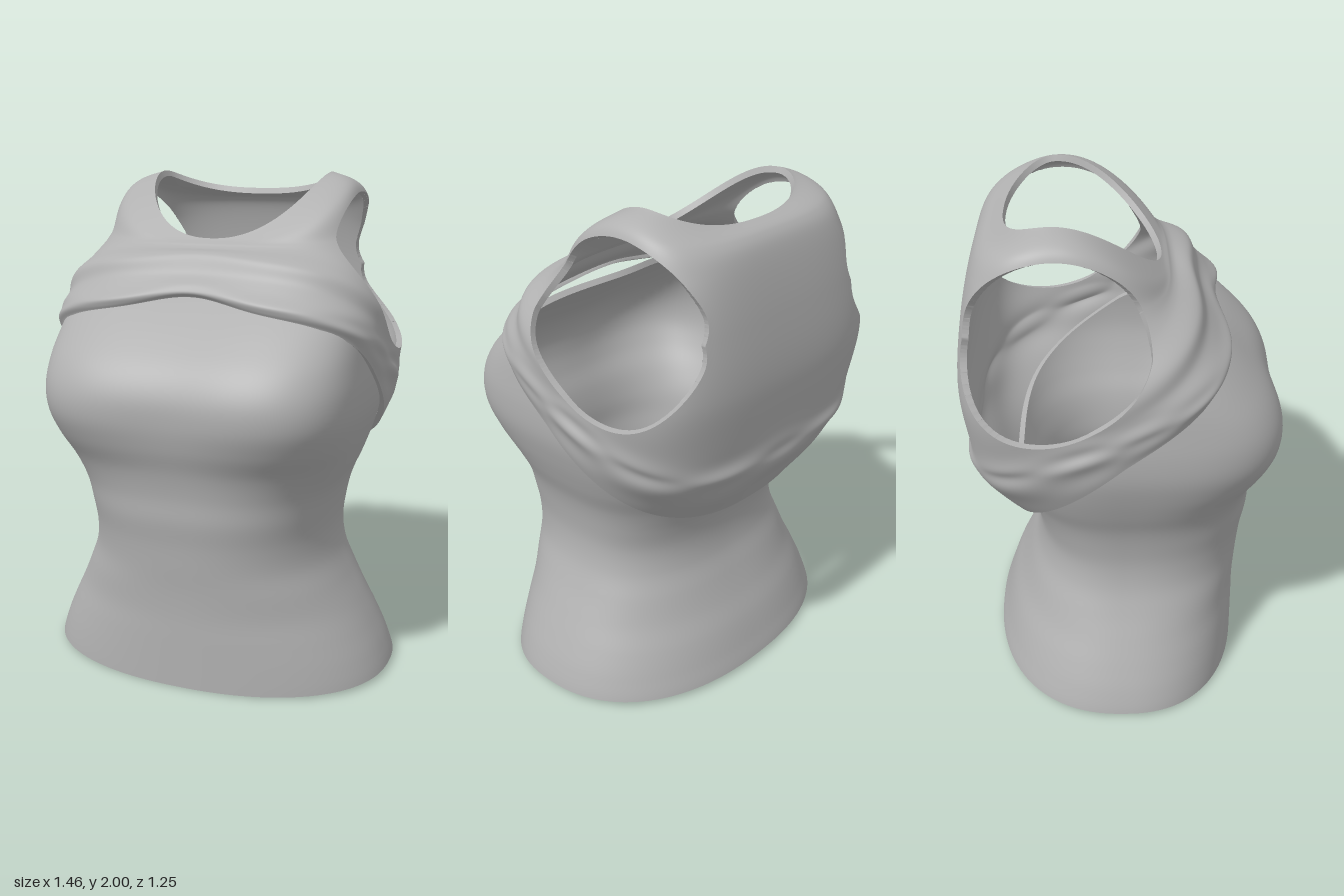
import * as THREE from 'three';
import { mergeGeometries, mergeVertices } from 'three/addons/utils/BufferGeometryUtils.js';

// Smooth interpolation through rows of numbers, t from 0 to rows.length - 1
function sampleRows(rows, t) {
  const last = rows.length - 1;
  const i = Math.min(Math.floor(t), last - 1), f = t - i;
  const at = (k) => rows[Math.max(0, Math.min(last, k))];
  return rows[0].map((_, c) => {
    const a = at(i - 1)[c], b = at(i)[c], d = at(i + 1)[c], e = at(i + 2)[c];
    return b + 0.5 * f * (d - a + f * (2 * a - 5 * b + 4 * d - e + f * (3 * (b - d) + e - a)));
  });
}

// Unit rounded-square outline: returns [x, z] for an angle and exponent
function outline(angle, n) {
  const c = Math.cos(angle), s = Math.sin(angle);
  const r = Math.pow(Math.abs(c) ** n + Math.abs(s) ** n, -1 / n);
  return [c * r, s * r];
}

const dent = (x, width) => Math.exp(-((x / width) ** 2));

// Closed tube of triangles from point(angle, v), keeping only where keep(p) >= 0
function tubeSurface(point, nu, nv, keep = () => 1) {
  const grid = [];
  for (let j = 0; j <= nv; j++) {
    const row = [];
    for (let i = 0; i < nu; i++) row.push(point((i / nu) * Math.PI * 2, j / nv));
    grid.push(row);
  }
  const out = [];
  const addTriangle = (tri) => {
    const poly = [];
    tri.forEach((p, k) => {
      const q = tri[(k + 1) % 3], a = keep(p), b = keep(q);
      if (a >= 0) poly.push(p);
      if (a >= 0 !== b >= 0) {
        // interpolate from the kept end so that neighbours agree
        poly.push(a >= 0 ? p.clone().lerp(q, a / (a - b)) : q.clone().lerp(p, b / (b - a)));
      }
    });
    for (let k = 2; k < poly.length; k++) {
      for (const p of [poly[0], poly[k - 1], poly[k]]) out.push(p.x, p.y, p.z);
    }
  };
  for (let j = 0; j < nv; j++) {
    for (let i = 0; i < nu; i++) {
      const n = (i + 1) % nu;
      const a = grid[j][i], b = grid[j][n], c = grid[j + 1][i], d = grid[j + 1][n];
      addTriangle([a, c, b]);
      addTriangle([b, c, d]);
    }
  }
  return weld(out);
}

function weld(numbers) {
  const raw = new THREE.BufferGeometry();
  raw.setAttribute('position', new THREE.Float32BufferAttribute(numbers, 3));
  const g = mergeVertices(raw, 1e-4);
  const ix = g.index.array, clean = [];
  for (let k = 0; k < ix.length; k += 3) {
    const [a, b, c] = [ix[k], ix[k + 1], ix[k + 2]];
    if (a !== b && b !== c && c !== a) clean.push(a, b, c);
  }
  g.setIndex(clean);
  g.computeVertexNormals();
  return g;
}

// Gives a surface an inner lining and a wall along every open edge
function thicken(outer, depth) {
  const pos = outer.attributes.position, nor = outer.attributes.normal;
  const ix = outer.index.array;
  const P = [], Q = [], edges = new Set();
  for (let i = 0; i < pos.count; i++) {
    const p = new THREE.Vector3().fromBufferAttribute(pos, i);
    P.push(p);
    Q.push(p.clone().addScaledVector(new THREE.Vector3().fromBufferAttribute(nor, i), -depth));
  }
  const inner = new THREE.BufferGeometry();
  inner.setAttribute('position', new THREE.Float32BufferAttribute(Q.flatMap((q) => q.toArray()), 3));
  const flipped = [];
  for (let k = 0; k < ix.length; k += 3) {
    const t = [ix[k], ix[k + 1], ix[k + 2]];
    flipped.push(t[0], t[2], t[1]);
    t.forEach((a, m) => edges.add(a + '_' + t[(m + 1) % 3]));
  }
  inner.setIndex(flipped);
  inner.computeVertexNormals();
  const wall = [];
  for (const e of edges) {
    const [a, b] = e.split('_').map(Number);
    if (edges.has(b + '_' + a)) continue;
    for (const p of [P[b], P[a], Q[a], P[b], Q[a], Q[b]]) wall.push(p.x, p.y, p.z);
  }
  return mergeGeometries([outer, inner, weld(wall)]);
}

// Fitted under-layer: half width, front z, back z, front and back squareness, centre dent
// One row for every 0.1 of height
const BODY = [
  [0.735, 0.49, -0.55, 2.3, 2.3, 0], [0.705, 0.49, -0.52, 2.3, 2.3, 0],
  [0.66, 0.49, -0.485, 2.3, 2.3, 0], [0.61, 0.49, -0.44, 2.3, 2.3, 0],
  [0.56, 0.495, -0.40, 2.4, 2.4, 0], [0.52, 0.505, -0.365, 2.4, 2.4, 0],
  [0.505, 0.515, -0.355, 2.5, 2.4, 0], [0.513, 0.53, -0.37, 2.6, 2.5, 0],
  [0.535, 0.535, -0.41, 2.7, 2.5, 0], [0.575, 0.555, -0.45, 2.9, 2.6, 0],
  [0.61, 0.60, -0.49, 3.3, 2.6, 0.01], [0.635, 0.63, -0.51, 3.6, 2.6, 0.02],
  [0.64, 0.625, -0.52, 3.7, 2.6, 0.02], [0.632, 0.575, -0.52, 3.7, 2.6, 0.02],
  [0.62, 0.48, -0.52, 3.6, 2.6, 0.025], [0.60, 0.36, -0.52, 3.5, 2.6, 0.03],
  [0.58, 0.22, -0.52, 3.4, 2.6, 0.03], [0.56, 0.16, -0.52, 3.4, 2.6, 0.03],
];

function bodyPoint(angle, v) {
  const s = Math.sin(angle);
  const low = 0.018 * Math.cos(angle) ** 2 + (s < 0 ? 0.02 * s * s : 0);
  const high = 1.25 + (s > 0 ? 0.31 : 0.38) * s;
  const y = low + (high - low) * v;
  const [w, zf, zb, nf, nb, dip] = sampleRows(BODY, y * 10);
  const [ux, uz] = outline(angle, uz0(s) ? nf : nb);
  const x = w * ux;
  return new THREE.Vector3(x, y, uz > 0 ? zf * uz - dip * uz * dent(x, 0.22) : -zb * uz);
}
const uz0 = (s) => s > 0;

// Cropped layer, rings from hem to neckline:
// half width, middle z, front z, back z, front y, side y, back y,
// front and back squareness, roundness of the rise, centre dent
const CROP = [
  [0.655, 0, 0.405, -0.47, 1.495, 1.19, 0.785, 3.4, 2.5, 0, 0.05],
  [0.675, -0.03, 0.41, -0.60, 1.53, 1.27, 1.0, 3.4, 3.2, 0, 0.045],
  [0.67, -0.08, 0.325, -0.605, 1.61, 1.34, 1.13, 3.4, 3.6, 0.2, 0.02],
  [0.67, -0.14, 0.285, -0.625, 1.68, 1.42, 1.38, 3.5, 4, 0.5, 0.02],
  [0.61, -0.2, 0.2, -0.60, 1.715, 1.6, 1.62, 3.5, 4, 1, 0],
  [0.535, -0.2, 0.175, -0.555, 1.732, 1.77, 1.82, 3.3, 4, 1, 0],
  [0.485, -0.22, 0.16, -0.51, 1.742, 1.945, 1.90, 3, 3.4, 1, 0],
  [0.37, -0.25, 0.15, -0.44, 1.75, 2.0, 1.925, 2.2, 2.3, 1, 0],
];

function cropPoint(angle, v) {
  const [w, z0, zf, zb, yf, ys, yb, nf, nb, round, dip] = sampleRows(CROP, v * (CROP.length - 1));
  const front = Math.sin(angle) > 0;
  const [ux, uz] = outline(angle, front ? nf : nb);
  const c = 1 - Math.abs(uz);
  const rise = c + (Math.sin((c * Math.PI) / 2) - c) * round;
  // gathered folds above the hem
  const fold = Math.exp(-(((v - 0.16) / 0.1) ** 2)) * (front ? 0.006 : 0.012);
  const ripple = 1 + fold * Math.cos(7 * (angle - Math.PI / 2)) * Math.cos(45 * v + 3 * uz);
  const x = w * ux * ripple;
  const y0 = front ? yf : yb;
  const bump = front ? dip * uz * dent(x, 0.22) : 0;
  const z = z0 + (front ? zf - z0 : z0 - zb) * uz * ripple - bump;
  return new THREE.Vector3(x, Math.min(2, y0 + (ys - y0) * rise + bump), z);
}

// Armhole: an egg seen from the side, leaning back below its middle
function outsideArmhole(p) {
  if (Math.abs(p.x) < 0.3) return 1;
  const dy = p.y - 1.605;
  const dz = p.z + 0.24 - Math.min(0, dy) * 0.28;
  return Math.hypot(dz / 0.335, dy / 0.318) - 1;
}

export function createModel() {
  const group = new THREE.Group();
  const cloth = new THREE.MeshStandardMaterial({ color: 0xb0b0b0, side: THREE.DoubleSide });
  cloth.name = 'grey cloth';

  const add = (name, geometry) => {
    const mesh = new THREE.Mesh(geometry, cloth);
    mesh.name = name;
    group.add(mesh);
  };
  add('fittedTop', thicken(tubeSurface(bodyPoint, 128, 80), 0.025));
  add('croppedTop', thicken(tubeSurface(cropPoint, 180, 110, outsideArmhole), 0.025));
  return group;
}
